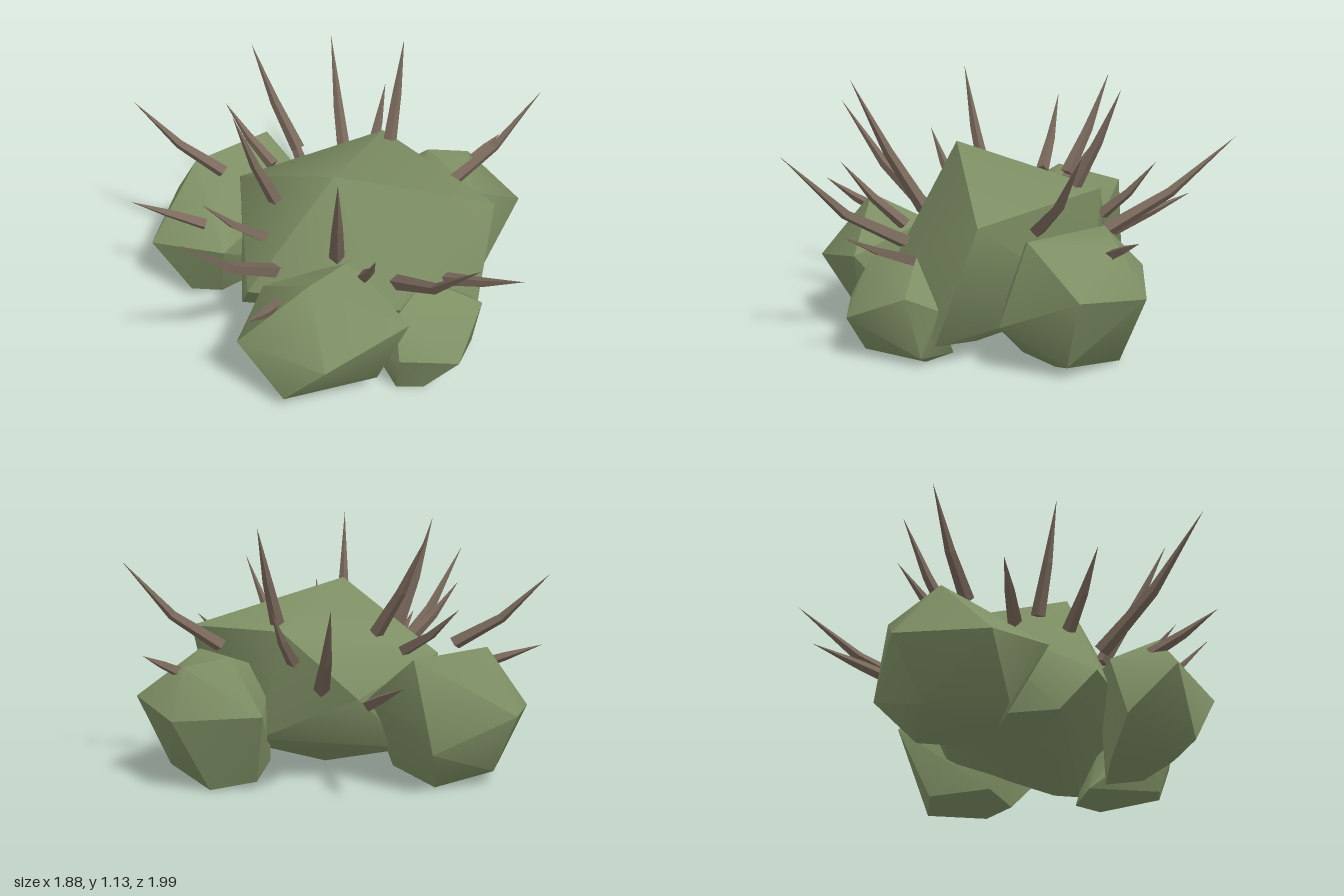
import * as THREE from 'three';
import { toCreasedNormals } from 'three/addons/utils/BufferGeometryUtils.js';
import { ConvexGeometry } from 'three/addons/geometries/ConvexGeometry.js';

// Faceted foliage lumps, each the hull of a few corners [x, y, z]
const LUMPS = {
  mainLump: [
    [-0.04, 0.845, 0.26], [0.675, 0.625, 0.205], [0.24, 0.68, -0.355], [-0.445, 0.56, -0.195],
    [-0.085, 0.4, -0.43], [0.59, 0.1, 0.38], [0.125, 0.35, 0.545], [-0.43, 0.32, 0.36],
    [-0.46, 0.13, 0.2], [-0.32, 0.15, -0.28], [0.35, 0.2, -0.3], [0.05, 0.02, 0], [0.4, 0.05, 0.2],
  ],
  backRightLump: [
    [-0.87, 0.295, -0.065], [-0.757, 0.33, -0.46], [-0.39, 0.19, -0.565], [-0.31, 0.59, -0.53],
    [-0.65, 0.6, -0.28], [-0.4, 0.54, -0.2], [-0.53, 0.385, 0.16], [-0.13, 0.4, -0.4],
    [-0.7, 0.06, 0], [-0.68, 0.06, -0.34], [-0.56, 0, -0.05], [-0.42, 0, -0.38], [-0.25, 0.05, -0.2],
  ],
  backLeftLump: [
    [0.315, 0.35, -0.535], [0.7, 0.32, -0.48], [0.885, 0.37, -0.18], [0.665, 0.2, 0.12],
    [0.62, 0.55, 0], [0.46, 0.57, -0.34], [0.66, 0.53, -0.37], [0.3, 0.45, 0], [0.745, 0.05, -0.15],
    [0.6, 0, -0.12], [0.42, 0, 0], [0.55, 0, -0.4], [0.35, 0.03, -0.38], [0.3, 0.05, -0.1],
  ],
  frontLump: [
    [-0.48, 0.33, 0.69], [-0.17, 0.58, 0.655], [0.24, 0.395, 0.72], [-0.125, 0.305, 0.89],
    [-0.295, 0.06, 0.77], [0.11, 0.1, 0.71], [-0.36, 0.4, 0.42], [0.02, 0.5, 0.4],
    [-0.42, 0.13, 0.48], [-0.22, 0, 0.69], [0.05, 0, 0.58], [-0.2, 0, 0.42], [0.1, 0, 0.42],
  ],
  smallLump: [
    [0.34, 0.415, 0.45], [0.19, 0.38, 0.65], [0.59, 0.31, 0.5],
    [0.455, 0.19, 0.75], [0.2, 0.21, 0.74], [0.1, 0.19, 0.63], [0.55, 0.24, 0.36],
    [0.57, 0.04, 0.44], [0.32, 0, 0.68], [0.2, 0, 0.67], [0.5, 0, 0.42], [0.4, 0, 0.3], [0.15, 0, 0.35],
  ],
};

// Thorns: base point, tip point, sag of the middle
const THORNS = [
  [[-0.04, 0.53, 0.41], [-0.06, 1.125, 0.73], 0.03],
  [[-0.29, 0.64, 0.12], [-0.455, 1.13, 0.205], 0.03],
  [[-0.17, 0.66, -0.26], [-0.365, 1.1, -0.48], 0.03],
  [[-0.29, 0.58, -0.25], [-0.5, 0.79, -0.48], 0.02],
  [[-0.52, 0.6, -0.18], [-0.91, 0.92, -0.305], 0.04],
  [[-0.31, 0.46, 0.39], [-0.67, 0.94, 0.81], 0.05],
  [[-0.3, 0.45, 0.6], [-0.43, 0.6, 0.88], 0.01],
  [[-0.35, 0.54, 0.25], [-0.6, 0.81, 0.37], 0.02],
  [[-0.61, 0.45, 0.02], [-0.94, 0.565, -0.02], 0],
  [[0.26, 0.7, -0.24], [0.335, 1.125, -0.42], 0.02],
  [[0.19, 0.55, -0.37], [0.275, 0.8, -0.59], 0.02],
  [[0.21, 0.45, 0.5], [0.46, 0.885, 0.99], 0.06],
  [[0.07, 0.49, 0.5], [0.085, 0.785, 0.775], 0.02],
  [[0.43, 0.43, 0.47], [0.7, 0.61, 0.735], 0.01],
  [[0.52, 0.57, -0.05], [0.935, 0.965, -0.175], 0.05],
  [[0.67, 0.5, -0.33], [0.82, 0.59, -0.42], 0],
  [[0.07, 0.44, -0.41], [0.04, 0.86, -1], 0.04],
  [[-0.13, 0.39, -0.48], [-0.24, 0.535, -0.865], 0],
];

function thornGeometry(base, tip, sag) {
  const a = new THREE.Vector3(...base);
  const dir = new THREE.Vector3(...tip).sub(a);
  const length = dir.length();
  const radius = 0.024 + 0.015 * length;
  const geo = new THREE.ConeGeometry(radius, length, 4, 2);
  geo.translate(0, length / 2, 0);
  const q = new THREE.Quaternion().setFromUnitVectors(new THREE.Vector3(0, 1, 0), dir.normalize());
  const pos = geo.attributes.position;
  const v = new THREE.Vector3();
  for (let i = 0; i < pos.count; i++) {
    v.fromBufferAttribute(pos, i);
    const t = v.y / length;
    const bulge = 1 + 1.5 * t * (1 - t); // keep the middle thick
    v.x *= bulge;
    v.z *= bulge;
    v.applyQuaternion(q).add(a);
    v.y -= sag * 4 * t * (1 - t); // bend the thorn upward
    pos.setXYZ(i, v.x, v.y, v.z);
  }
  const flat = geo.toNonIndexed();
  flat.computeVertexNormals();
  return flat;
}

export function createModel() {
  const model = new THREE.Group();
  model.name = 'thornBush';
  const leafGreen = new THREE.MeshStandardMaterial({ color: 0x7e8f64 });
  leafGreen.name = 'leafGreen';
  const thornBrown = new THREE.MeshStandardMaterial({ color: 0x7a695c });
  thornBrown.name = 'thornBrown';

  // Foliage
  for (const [name, corners] of Object.entries(LUMPS)) {
    const hull = new ConvexGeometry(corners.map((c) => new THREE.Vector3(...c)));
    const mesh = new THREE.Mesh(toCreasedNormals(hull, 0.8), leafGreen);
    mesh.name = name;
    model.add(mesh);
  }

  // Thorns
  const thorns = new THREE.Group();
  thorns.name = 'thorns';
  for (const [base, tip, sag] of THORNS) {
    const mesh = new THREE.Mesh(thornGeometry(base, tip, sag), thornBrown);
    mesh.name = 'thorn';
    thorns.add(mesh);
  }
  model.add(thorns);
  return model;
}
